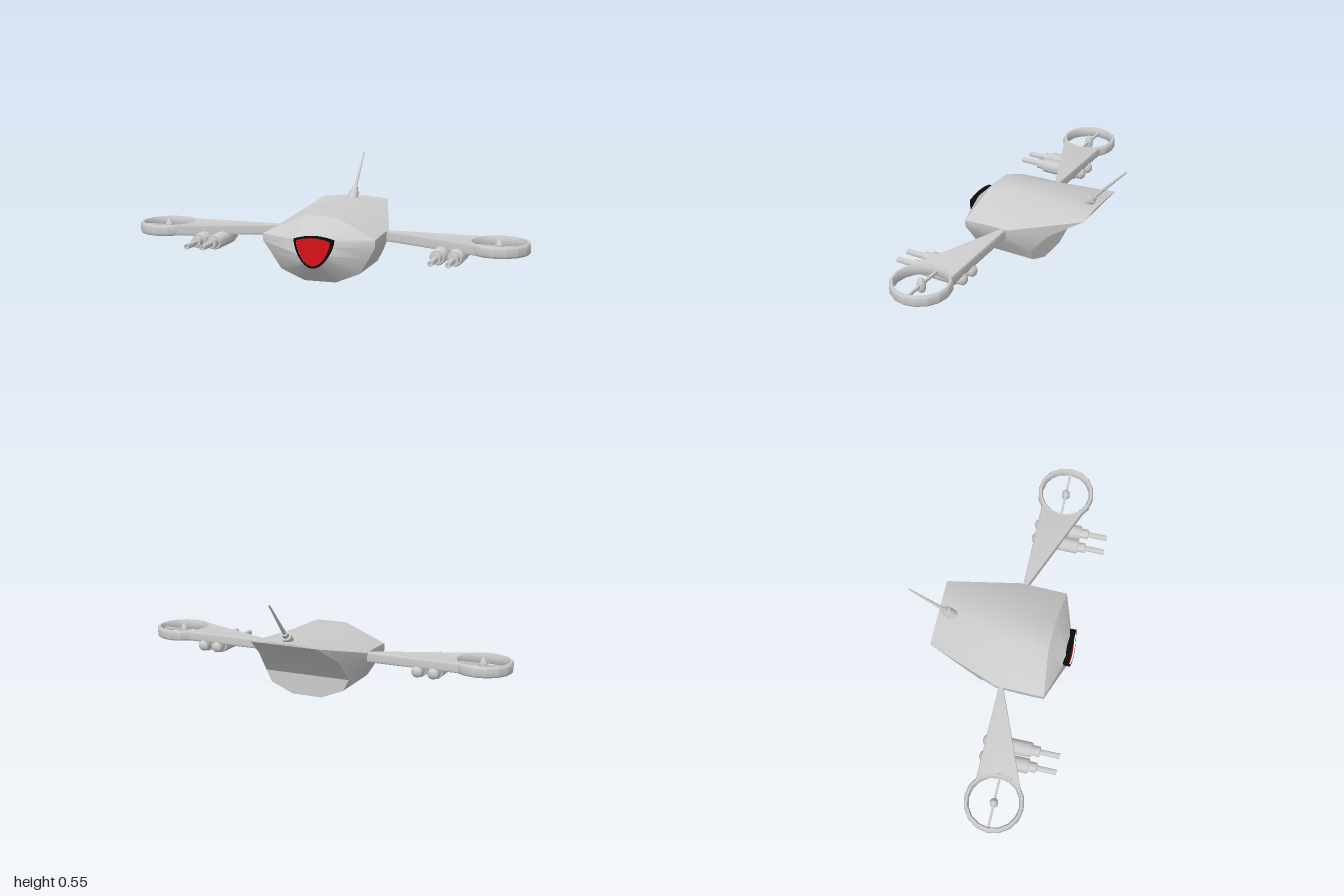
import * as THREE from 'three';
import { toCreasedNormals } from 'three/addons/utils/BufferGeometryUtils.js';

const grey = new THREE.MeshStandardMaterial({ color: 0xcccccc });
const black = new THREE.MeshStandardMaterial({ color: 0x0a0a0a });
const red = new THREE.MeshStandardMaterial({ color: 0xd01018 });

function mesh(name, geometry, material = grey, crease = 0.6) {
  const m = new THREE.Mesh(toCreasedNormals(geometry, crease), material);
  m.name = name;
  return m;
}

function lathe(points, sides) {
  return new THREE.LatheGeometry(points.map(([r, y]) => new THREE.Vector2(r, y)), sides);
}

// Loft of half sections (top to bottom on +x), mirrored and capped at both ends
function loftMirrored(sections) {
  const pos = [];
  const tri = (...p) => p.forEach((v) => pos.push(...v));
  const quad = (a, b, c, d) => { tri(a, b, c); tri(a, c, d); };
  const flip = ([x, y, z]) => [-x, y, z];
  const rings = sections.map((s) => [...s, ...s.map(flip).reverse()]);
  for (let i = 0; i + 1 < rings.length; i++) {
    const f = rings[i], b = rings[i + 1];
    f.forEach((p, j) => {
      const k = (j + 1) % f.length;
      quad(p, f[k], b[k], b[j]);
    });
  }
  const nose = sections[0], tail = sections[sections.length - 1];
  for (let i = 0; i + 1 < nose.length; i++) {
    quad(nose[i], flip(nose[i]), flip(nose[i + 1]), nose[i + 1]);
    quad(tail[i], tail[i + 1], flip(tail[i + 1]), flip(tail[i]));
  }
  const g = new THREE.BufferGeometry();
  g.setAttribute('position', new THREE.Float32BufferAttribute(pos, 3));
  return g;
}

function makeBody() {
  // Each section: top, widest edge, upper side, mid side, lower side, bottom
  return mesh('body', loftMirrored([
    [[0.05, 0.235, 0.37], [0.1, 0.215, 0.365], [0.095, 0.19, 0.37], [0.08, 0.15, 0.38], [0.05, 0.115, 0.39], [0.025, 0.1, 0.39]],
    [[0.08, 0.322, 0.28], [0.285, 0.225, 0.305], [0.285, 0.19, 0.305], [0.25, 0.13, 0.29], [0.2, 0.05, 0.28], [0.08, 0, 0.28]],
    [[0.07, 0.335, 0.18], [0.285, 0.232, 0.18], [0.285, 0.19, 0.18], [0.25, 0.13, 0.18], [0.2, 0.05, 0.18], [0.08, 0, 0.18]],
    [[0.07, 0.335, 0.05], [0.285, 0.233, 0.06], [0.28, 0.19, 0.06], [0.245, 0.13, 0.05], [0.2, 0.05, 0.05], [0.08, 0, 0.05]],
    [[0.07, 0.335, -0.3], [0.175, 0.325, -0.3], [0.22, 0.22, -0.13], [0.23, 0.11, -0.035], [0.2, 0.05, -0.035], [0.08, 0, -0.035]],
  ]), grey, 0.55);
}

// Tapered window outline, scaled about its centre
function windowShape(k, S = THREE.Shape) {
  const s = new S();
  s.moveTo(-0.097 * k, 0.058 * k);
  s.quadraticCurveTo(0, 0.09 * k, 0.097 * k, 0.058 * k);
  s.bezierCurveTo(0.1 * k, 0.02 * k, 0.06 * k, -0.078 * k, 0, -0.08 * k);
  s.bezierCurveTo(-0.06 * k, -0.078 * k, -0.1 * k, 0.02 * k, -0.097 * k, 0.058 * k);
  return s;
}

function makeWindow() {
  const g = new THREE.Group();
  g.name = 'frontWindow';
  const rim = windowShape(1);
  rim.holes.push(windowShape(0.87, THREE.Path));
  g.add(mesh('windowFrame', new THREE.ExtrudeGeometry(rim, { depth: 0.03, bevelEnabled: false }), black));
  g.add(mesh('windowGlass', new THREE.ExtrudeGeometry(windowShape(0.9), { depth: 0.022, bevelEnabled: false }), red));
  g.position.set(0.004, 0.167, 0.368);
  g.rotation.x = -0.11;
  return g;
}

const FAN_X = 0.852, FAN_Z = 0.182;

function makeWing(side) {
  // Plan drawn in x and -z, with the tip cut to seat the fan ring
  const r = 0.138, front = 0.297, back = 0.078;
  const a0 = Math.PI + Math.asin((front - FAN_Z) / r);
  const a1 = Math.PI - Math.asin((FAN_Z - back) / r);
  const plan = new THREE.Shape();
  plan.moveTo(0.24, -front);
  plan.absarc(FAN_X, -FAN_Z, r, a0, a1, true);
  plan.lineTo(0.24, -back);
  const geo = new THREE.ExtrudeGeometry(plan, {
    depth: 0.026, bevelThickness: 0.013, bevelSize: 0.013, bevelSegments: 3, curveSegments: 10,
  });
  geo.rotateX(-Math.PI / 2).translate(0, 0.194, 0);
  // Half turn about z mirrors the plan; the slab is symmetric about y = 0.207
  if (side < 0) geo.translate(0, -0.207, 0).rotateZ(Math.PI).translate(0, 0.207, 0);
  return mesh(side > 0 ? 'leftWing' : 'rightWing', geo);
}

function makeFan(side) {
  const g = new THREE.Group();
  g.name = side > 0 ? 'leftFan' : 'rightFan';
  g.add(mesh('fanRing', lathe([
    [0.124, -0.012], [0.131, -0.027], [0.141, -0.027], [0.147, -0.018],
    [0.147, 0.018], [0.141, 0.027], [0.131, 0.027], [0.124, 0.012], [0.124, -0.012],
  ], 16)));
  g.add(mesh('fanHub', lathe([[0, -0.043], [0.014, -0.036], [0.021, -0.022], [0.021, 0.01], [0.013, 0.028], [0, 0.042]], 12)));
  g.add(mesh('fanBlade', new THREE.BoxGeometry(0.255, 0.012, 0.012)));
  g.position.set(side * FAN_X, 0.207, FAN_Z);
  return g;
}

function makeGun(x) {
  const g = new THREE.Group();
  g.name = 'gun';
  // Profiles run from the rear cap to the muzzle
  const pod = mesh('gunPod', lathe([
    [0, 0.055], [0.018, 0.06], [0.028, 0.07], [0.03, 0.11], [0.038, 0.115],
    [0.038, 0.3], [0.034, 0.306], [0.026, 0.306], [0.026, 0.345], [0, 0.348],
  ], 14));
  const barrel = mesh('gunBarrel', lathe([[0.014, 0.34], [0.014, 0.446], [0.008, 0.446], [0.008, 0.42], [0, 0.42]], 12));
  g.add(pod, barrel);
  g.rotation.x = Math.PI / 2;
  g.position.set(x, 0.163, 0);
  return g;
}

function makeAntenna() {
  const g = new THREE.Group();
  g.name = 'antenna';
  g.add(mesh('antennaBase', lathe([[0.026, -0.02], [0.026, 0.035], [0.017, 0.038], [0.017, 0.062], [0, 0.062]], 12)));
  g.add(mesh('antennaRod', lathe([[0.01, 0.05], [0.004, 0.295], [0, 0.295]], 8)));
  g.position.set(0.004, 0.335, -0.235);
  g.rotation.x = -0.755;
  return g;
}

export function createModel() {
  const model = new THREE.Group();
  model.name = 'aircraft';
  model.add(makeBody(), makeWindow(), makeAntenna());
  for (const side of [1, -1]) model.add(makeWing(side), makeFan(side));
  for (const x of [-0.63, -0.547, 0.585, 0.667]) model.add(makeGun(x));
  return model;
}
